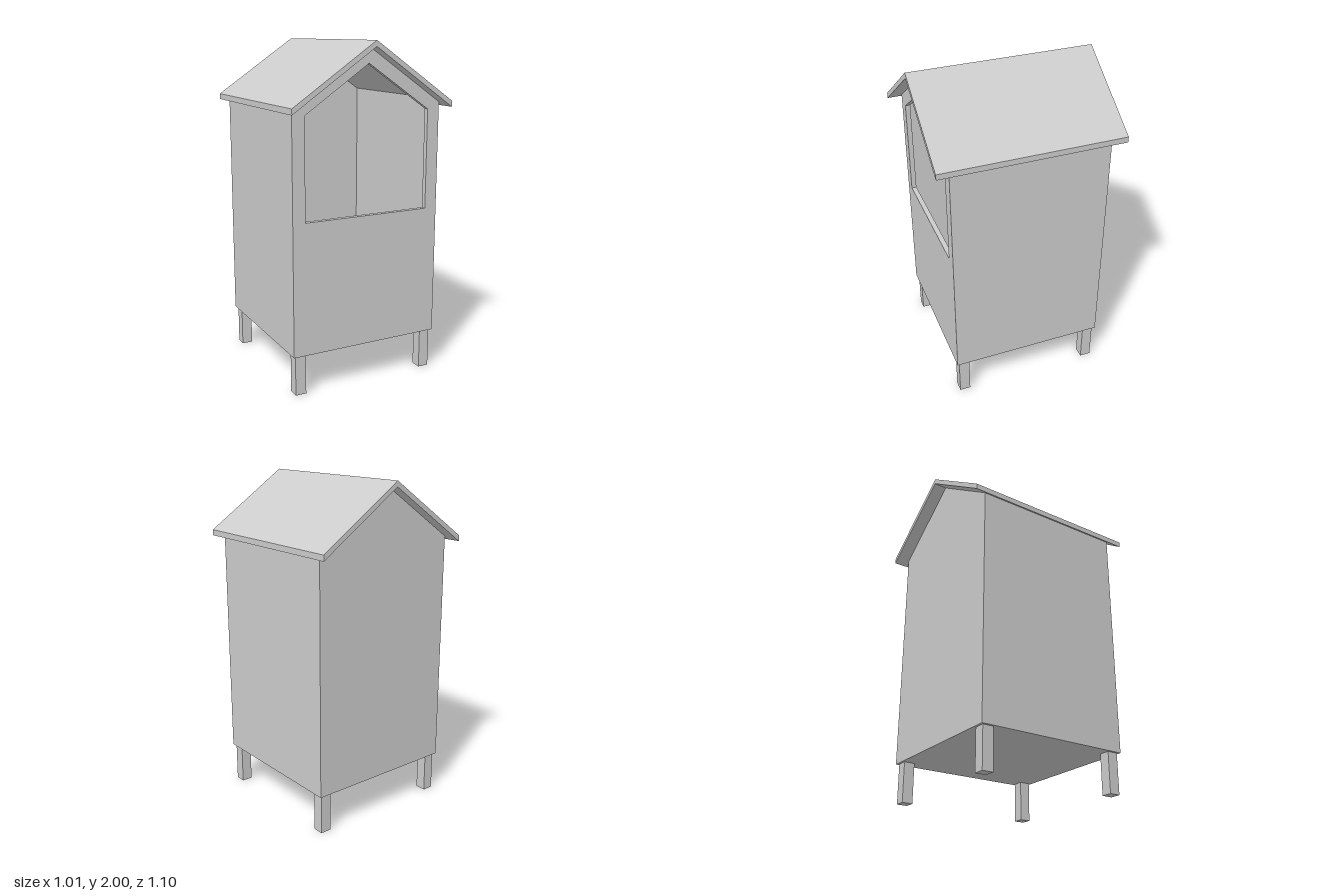
import * as THREE from 'three';

const material = new THREE.MeshStandardMaterial({ color: 0xcccccc });
const HALF = 0.47, WALL = 0.03, BASE = 0.24;   // body half width, board thickness, underside
const INNER = HALF - WALL;
const SLOPE = 0.68, RIDGE = 2, ROOF_T = 0.034, EAVE = 0.505, OVERHANG = 0.55;
const ceiling = x => RIDGE - ROOF_T - SLOPE * Math.abs(x);   // underside of the roof

const toPoints = pts => pts.map(([x, y]) => new THREE.Vector2(x, y));

// Extrudes an outline (in x, y) from z0 to z1, with an optional hole.
function panel(name, outline, z0, z1, hole) {
  const shape = new THREE.Shape(toPoints(outline));
  if (hole) shape.holes.push(new THREE.Path(toPoints(hole)));
  const geometry = new THREE.ExtrudeGeometry(shape, { depth: z1 - z0, bevelEnabled: false });
  geometry.translate(0, 0, z0);
  const mesh = new THREE.Mesh(geometry, material);
  mesh.name = name;
  return mesh;
}

function box(name, w, h, d, x, y, z) {
  const mesh = new THREE.Mesh(new THREE.BoxGeometry(w, h, d), material);
  mesh.position.set(x, y, z);
  mesh.name = name;
  return mesh;
}

// Five-sided house outline
const gable = (half, bottom, shoulder, apex) =>
  [[-half, bottom], [half, bottom], [half, shoulder], [0, apex], [-half, shoulder]];

export function createModel() {
  const model = new THREE.Group();
  model.name = 'raisedHut';

  // Gabled end walls, the front one with a large opening
  const wall = gable(HALF, BASE, ceiling(HALF), ceiling(0));
  const opening = gable(0.393, 1.02, 1.608, 1.875).reverse();
  model.add(panel('frontWall', wall, INNER, HALF, opening));
  model.add(panel('backWall', wall, -HALF, -INNER));

  // Side walls with tops cut to the roof pitch
  for (const [name, s] of [['leftWall', 1], ['rightWall', -1]]) {
    const outline = [[s * INNER, BASE], [s * HALF, BASE],
      [s * HALF, ceiling(HALF)], [s * INNER, ceiling(INNER)]];
    model.add(panel(name, outline, -INNER, INNER));
  }

  // Floor
  model.add(box('floor', 2 * INNER, WALL, 2 * INNER, 0, BASE + WALL / 2, 0));

  // Pitched roof, overhanging on all sides
  const eaveTop = RIDGE - SLOPE * EAVE;
  model.add(panel('roof', [
    [-EAVE, eaveTop - ROOF_T], [0, RIDGE - ROOF_T], [EAVE, eaveTop - ROOF_T],
    [EAVE, eaveTop], [0, RIDGE], [-EAVE, eaveTop],
  ], -OVERHANG, OVERHANG));

  // Four square legs
  for (const [end, z] of [['front', 1], ['back', -1]])
    for (const [side, x] of [['Left', 1], ['Right', -1]])
      model.add(box(`${end}${side}Leg`, 0.066, BASE, 0.066, x * 0.422, BASE / 2, z * 0.422));

  return model;
}
